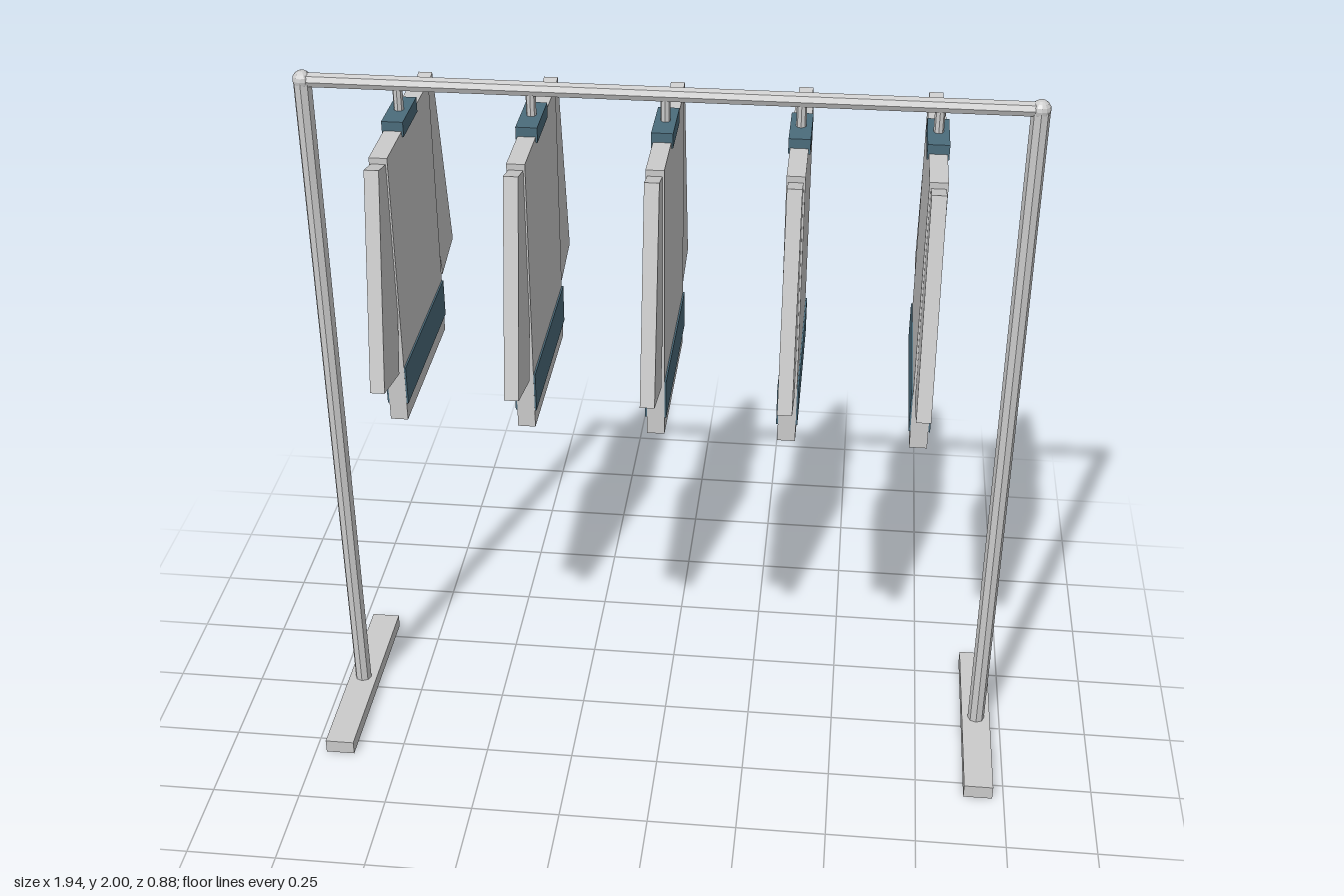
import * as THREE from 'three';

const grey = new THREE.MeshStandardMaterial({ color: 0xcccccc, flatShading: true });
const blue = new THREE.MeshStandardMaterial({ color: 0x4b6c7c, flatShading: true });

function add(parent, name, geometry, x, y, z, material = grey) {
  const mesh = new THREE.Mesh(geometry, material);
  mesh.name = name;
  mesh.position.set(x, y, z);
  parent.add(mesh);
  return mesh;
}

const box = (w, h, d) => new THREE.BoxGeometry(w, h, d);
const rod = (r, length) => new THREE.CylinderGeometry(r, r, length, 8);

// One shirt on its hook, hanging in the YZ plane
function createShirt() {
  const shirt = new THREE.Group();
  shirt.name = 'shirt';
  add(shirt, 'hook', rod(0.013, 0.09), 0, 1.93, 0);
  add(shirt, 'collar', box(0.055, 0.04, 0.164), 0, 1.885, 0, blue);
  add(shirt, 'body', box(0.046, 0.75, 0.494), 0, 1.505, 0);
  add(shirt, 'hemStripe', box(0.055, 0.108, 0.493), 0, 1.233, 0, blue);
  for (const side of [-1, 1]) {
    const sleeve = add(shirt, 'sleeve', box(0.037, 0.569, 0.162), 0, 1.584, side * 0.299);
    sleeve.rotation.x = -side * 0.216;
  }
  return shirt;
}

export function createModel() {
  const rack = new THREE.Group();
  rack.name = 'clothesRack';

  // Stands: foot, post and rounded corner joint on each side
  for (const side of [-1, 1]) {
    const x = side * 0.927;
    add(rack, 'foot', box(0.082, 0.04, 0.612), x, 0.02, 0);
    add(rack, 'post', rod(0.024, 1.94), x, 1.005, 0);
    add(rack, 'joint', new THREE.SphereGeometry(0.025, 12, 8), x, 1.975, 0);
  }

  // Hanging rail
  add(rack, 'rail', rod(0.02, 1.86), 0, 1.975, 0).rotation.z = Math.PI / 2;

  // Evenly spaced shirts
  for (let i = -2; i <= 2; i++) {
    const shirt = createShirt();
    shirt.position.x = i * 0.341;
    rack.add(shirt);
  }
  return rack;
}
